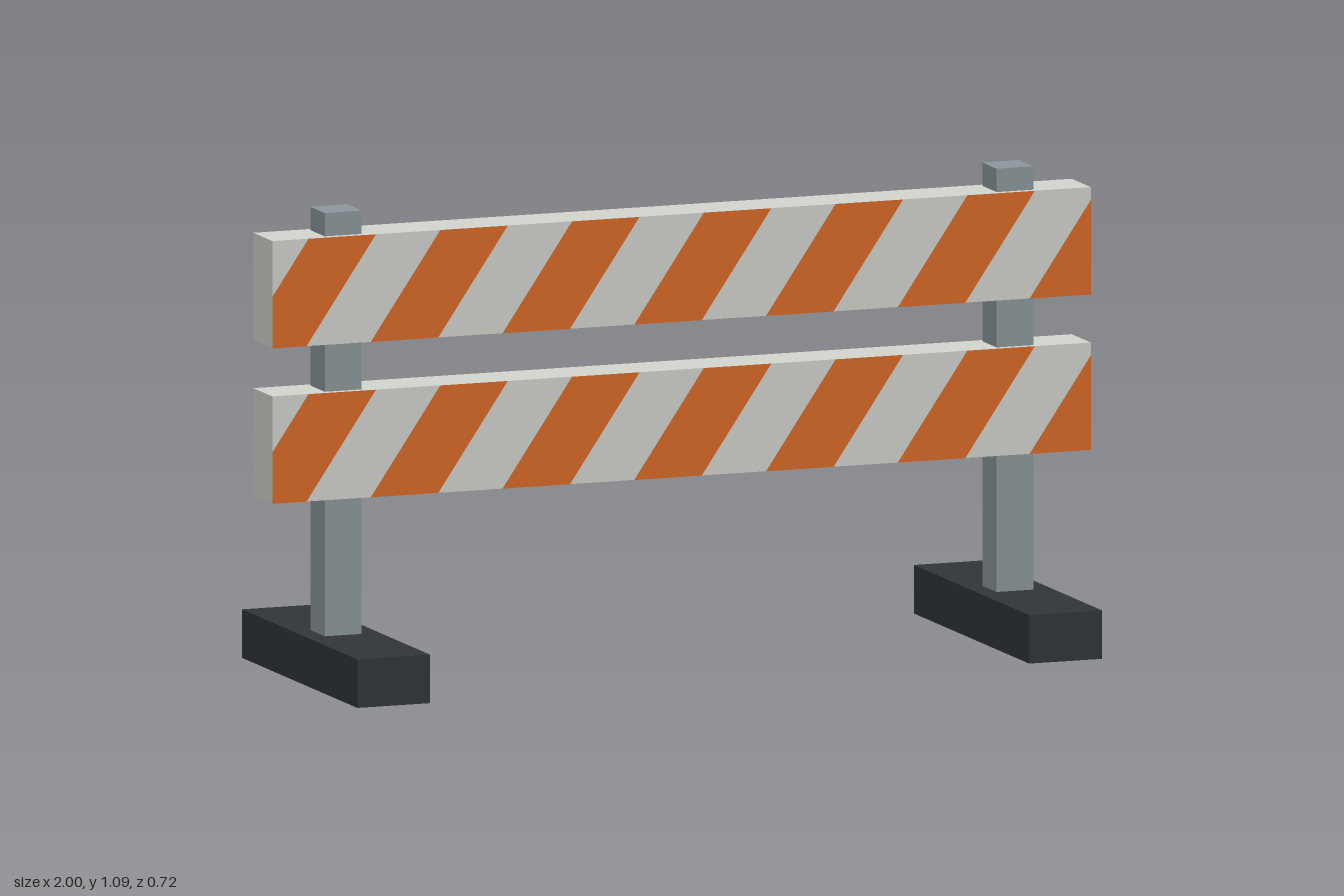
import * as THREE from 'three';

const paint = (color) => new THREE.MeshStandardMaterial({ color });
const white = paint(0xd1d3cd);
const orange = paint(0xd96a26);
const steel = paint(0x8c979b);
const rubber = paint(0x303539);

const BOARD = { length: 2, height: 0.248, depth: 0.12 };
const STRIPE = { first: -0.912, pitch: 0.322, width: 0.165, lean: 0.17, count: 7 };

function box(name, material, w, h, d, x, y, z) {
  const mesh = new THREE.Mesh(new THREE.BoxGeometry(w, h, d), material);
  mesh.name = name;
  mesh.position.set(x, y, z);
  return mesh;
}

// Cut a polygon of [x, y] corners at a vertical line, keeping the side where side * x <= limit
function clip(points, side, limit) {
  const kept = [];
  points.forEach((a, i) => {
    const b = points[(i + 1) % points.length];
    const da = side * a[0] - limit;
    const db = side * b[0] - limit;
    if (da <= 0) kept.push(a);
    if (da * db < 0) {
      const t = da / (da - db);
      kept.push([a[0] + t * (b[0] - a[0]), a[1] + t * (b[1] - a[1])]);
    }
  });
  return kept;
}

// Slanted stripes trimmed to the board ends; mirror = -1 flips them for the back face
function stripeGeometry(mirror) {
  const top = BOARD.height / 2;
  const shapes = [];
  for (let i = 0; i < STRIPE.count; i++) {
    const x = STRIPE.first + i * STRIPE.pitch;
    let points = [
      [x - STRIPE.lean, -top], [x - STRIPE.lean + STRIPE.width, -top],
      [x + STRIPE.width, top], [x, top],
    ];
    points = clip(clip(points, 1, BOARD.length / 2), -1, BOARD.length / 2);
    shapes.push(new THREE.Shape(points.map(([px, py]) => new THREE.Vector2(px * mirror, py))));
  }
  return new THREE.ShapeGeometry(shapes);
}

function stripedBoard(name, y) {
  const group = new THREE.Group();
  group.name = name;
  group.position.y = y;
  group.add(box('board', white, BOARD.length, BOARD.height, BOARD.depth, 0, 0, 0));
  for (const side of [1, -1]) {
    const stripes = new THREE.Mesh(stripeGeometry(side), orange);
    stripes.name = side > 0 ? 'frontStripes' : 'backStripes';
    stripes.position.z = side * (BOARD.depth / 2 + 0.001);
    if (side < 0) stripes.rotation.y = Math.PI;
    group.add(stripes);
  }
  return group;
}

export function createModel() {
  const model = new THREE.Group();
  model.name = 'roadBarricade';

  // Uprights on heavy feet
  for (const [label, x] of [['left', 0.821], ['right', -0.821]]) {
    model.add(box(label + 'Foot', rubber, 0.178, 0.112, 0.724, x, 0.056, 0));
    model.add(box(label + 'Post', steel, 0.09, 0.98, 0.09, x, 0.6, 0));
  }

  // Two striped boards
  model.add(stripedBoard('lowerBoard', 0.553));
  model.add(stripedBoard('upperBoard', 0.912));
  return model;
}
